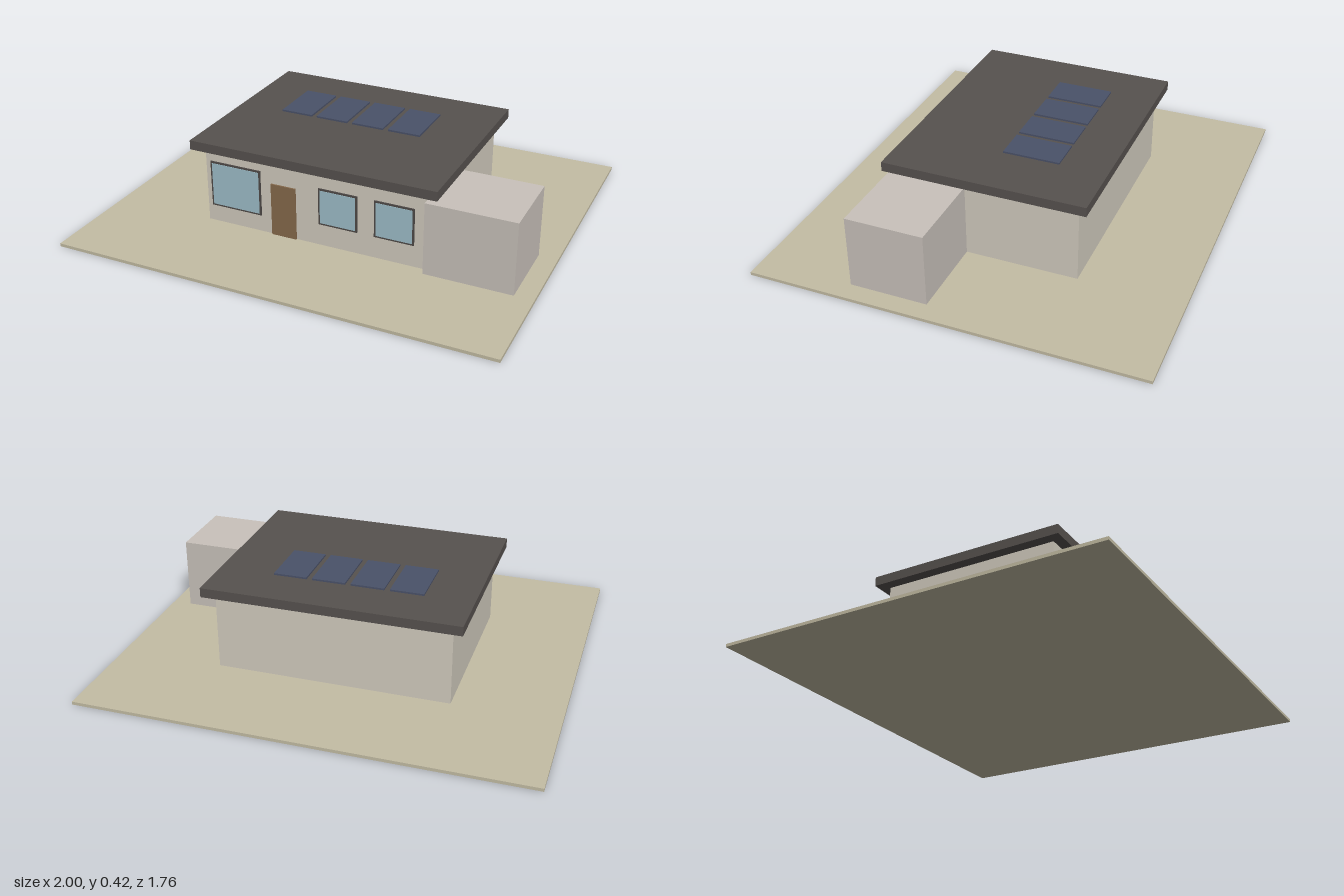
import * as THREE from 'three';

const paint = (color) => new THREE.MeshStandardMaterial({ color });

export function createModel() {
  const model = new THREE.Group();
  const mats = {
    ground: paint(0xc4bda4), wall: paint(0xd2ccbf), garage: paint(0xc9c2bb), roof: paint(0x57524f),
    frame: paint(0x4f4a48), glass: paint(0x9fbfca), door: paint(0x876a4c), panel: paint(0x4a5269),
  };

  // Box given by its extents along each axis
  const box = (name, mat, [x0, x1], [y0, y1], [z0, z1], parent = model) => {
    const mesh = new THREE.Mesh(new THREE.BoxGeometry(x1 - x0, y1 - y0, z1 - z0), mats[mat]);
    mesh.position.set((x0 + x1) / 2, (y0 + y1) / 2, (z0 + z1) / 2);
    mesh.name = name;
    parent.add(mesh);
    return mesh;
  };

  const base = 0.014, front = 0.411;

  // Plot, house body, flat overhanging roof and side garage
  box('ground', 'ground', [-1, 1], [0, base], [-0.88, 0.88]);
  box('houseWalls', 'wall', [-0.528, 0.528], [base, 0.37], [-front, front]);
  box('roof', 'roof', [-0.577, 0.577], [0.37, 0.413], [-0.458, 0.458]);
  box('garage', 'garage', [0.52, 0.914], [base, 0.345], [0.097, 0.447]);

  // Front door
  box('door', 'door', [-0.204, -0.085], [base, 0.261], [front - 0.01, front + 0.007]);

  // Front windows: dark frame with a slightly proud pane
  const rim = 0.008;
  [
    [-0.504, -0.256, 0.094, 0.31],
    [0.025, 0.206, 0.117, 0.289],
    [0.285, 0.466, 0.117, 0.289],
  ].forEach(([x0, x1, y0, y1]) => {
    const win = new THREE.Group();
    win.name = 'window';
    box('windowFrame', 'frame', [x0, x1], [y0, y1], [front - 0.01, front + 0.006], win);
    box('windowGlass', 'glass', [x0 + rim, x1 - rim], [y0 + rim, y1 - rim], [front - 0.005, front + 0.008], win);
    model.add(win);
  });

  // Row of solar panels
  for (let i = 0; i < 4; i++) {
    const x = -0.359 + i * 0.176;
    box('solarPanel', 'panel', [x, x + 0.151], [0.416, 0.424], [-0.245, 0.01]);
  }

  return model;
}
